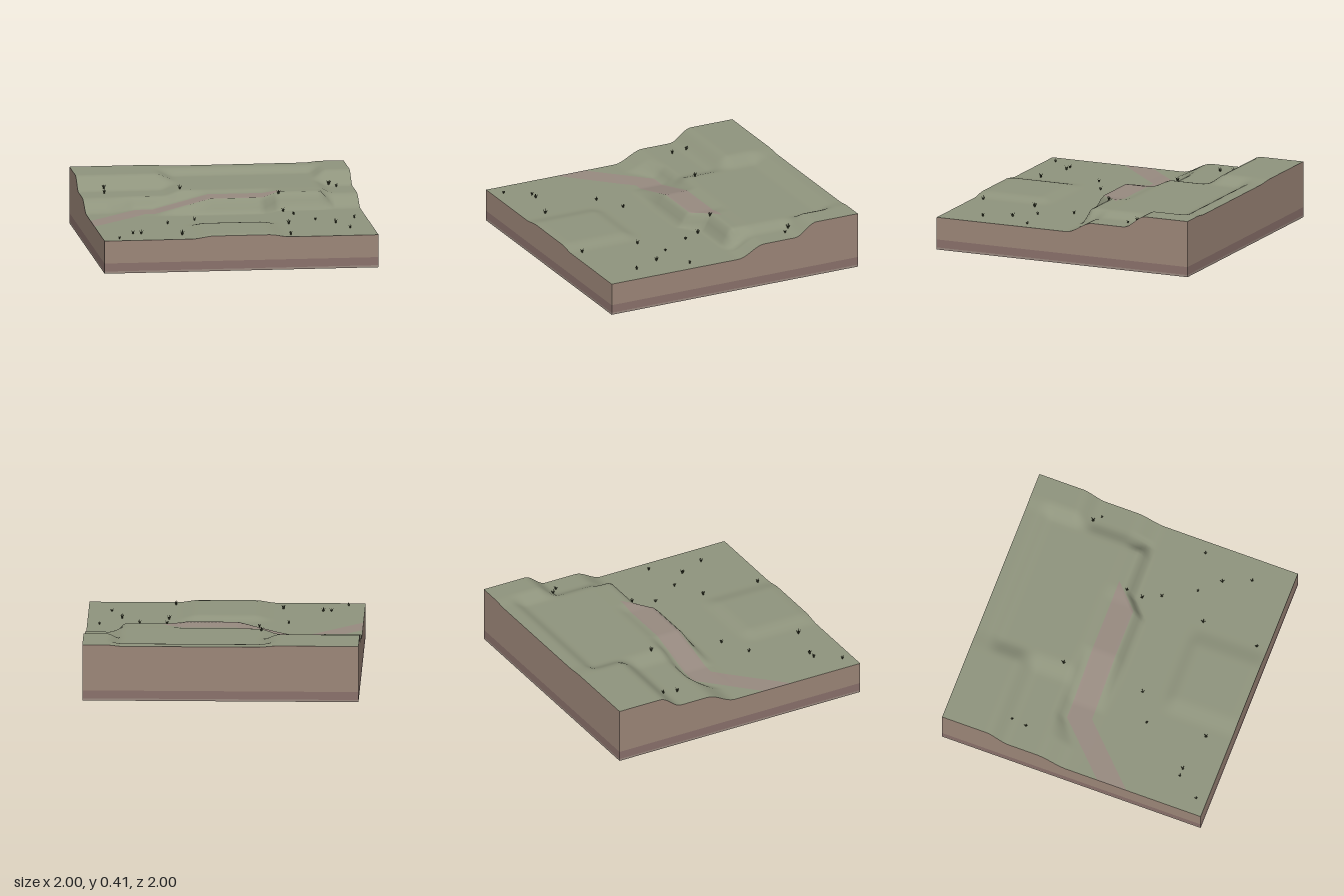
import * as THREE from 'three';
import { mergeGeometries } from 'three/addons/utils/BufferGeometryUtils.js';

const N = 80; // ground cells per side
const WALL_BASE = 0.075;
const { lerp, smoothstep } = THREE.MathUtils;
const mat = (color, side = THREE.FrontSide) => new THREE.MeshStandardMaterial({ color, side, roughness: 1 });

// Piecewise-linear lookup through [x, value] points
function along(points, x) {
  for (let i = 1; i < points.length; i++) {
    const [x0, v0] = points[i - 1], [x1, v1] = points[i];
    if (x <= x1) return lerp(v0, v1, Math.max(0, (x - x0) / (x1 - x0)));
  }
  return points[points.length - 1][1];
}

// Rising ledge, its front edge, and the bank behind it, all as functions of x
const ledge = [[-1, 0.24], [-0.5, 0.243], [-0.1, 0.345], [0.3, 0.345], [0.4, 0.36], [0.72, 0.36], [0.82, 0.24], [1, 0.24]];
const ledgeEdge = [[-1, 0], [0.27, 0], [0.4, -0.115], [1, -0.115]];
const bankTop = [[-1, -0.27], [0.7, -0.27], [0.85, -0.24]];
const bankFoot = [[-0.82, -0.04], [-0.64, -0.18], [0.72, -0.18], [0.84, -0.03]];

function groundHeight(x, z) {
  // Terraces behind the bank
  const plateau = smoothstep(x, -0.42, -0.26) * (1 - smoothstep(x, 0.71, 0.83));
  const sideTerrace = 0.415 - 0.093 * smoothstep(z, -0.66, -0.49);
  const midTerrace = 0.405 - 0.043 * smoothstep(z, -0.92, -0.8);
  const upper = lerp(sideTerrace, midTerrace, plateau);
  // Meadow with a low mound, and the ledge with its front cliff
  const mound = 0.025 * smoothstep(x, -0.36, -0.2) * (1 - smoothstep(x, 0.2, 0.36))
    * smoothstep(z, 0.41, 0.53) * (1 - 0.25 * smoothstep(z, 0.95, 1));
  const edge = along(ledgeEdge, x);
  const low = lerp(along(ledge, x), 0.24, smoothstep(z, edge, edge + 0.085)) + mound;
  return lerp(upper, low, smoothstep(z, along(bankTop, x), along(bankFoot, x)));
}

// Worn path: a diagonal strip on the meadow leading onto the ledge
function onPath(x, z) {
  const d = x + z;
  if (z > 0) return d > -0.8 && d < -0.575;
  return z > -0.175 && d > -0.8 && d < 0.275;
}

function addGround(group) {
  const ground = new THREE.PlaneGeometry(2, 2, N, N).rotateX(-Math.PI / 2);
  const p = ground.attributes.position;
  for (let i = 0; i < p.count; i++) p.setY(i, groundHeight(p.getX(i), p.getZ(i)));
  ground.computeVertexNormals();

  // Split the faces into grass and path, keeping shared normals
  const grass = [], path = [], idx = ground.index.array;
  for (let i = 0; i < idx.length; i += 3) {
    const tri = [idx[i], idx[i + 1], idx[i + 2]];
    const cx = tri.reduce((s, k) => s + p.getX(k), 0) / 3;
    const cz = tri.reduce((s, k) => s + p.getZ(k), 0) / 3;
    (onPath(cx, cz) ? path : grass).push(...tri);
  }
  for (const [name, index, color] of [['grassGround', grass, 0x8f947d], ['path', path, 0x978a80]]) {
    const g = ground.clone();
    g.setIndex(index);
    const mesh = new THREE.Mesh(g, mat(color));
    mesh.name = name;
    group.add(mesh);
  }
}

// One soil wall, following the ground edge from corner a to corner b
function soilWall(ax, az, bx, bz) {
  const g = new THREE.PlaneGeometry(1, 1, N, 1);
  const p = g.attributes.position;
  for (let i = 0; i < p.count; i++) {
    const t = p.getX(i) + 0.5;
    const x = lerp(ax, bx, t), z = lerp(az, bz, t);
    p.setXYZ(i, x, p.getY(i) > 0 ? groundHeight(x, z) : WALL_BASE, z);
  }
  g.computeVertexNormals();
  return g;
}

function addSoil(group) {
  const corners = [[-1, 1], [1, 1], [1, -1], [-1, -1]];
  const walls = corners.map((c, i) => soilWall(...c, ...corners[(i + 1) % 4]));
  const soil = new THREE.Mesh(mergeGeometries(walls), mat(0x9c8678));
  soil.name = 'soilWalls';
  group.add(soil);

  // Lower strata; the lowest has a dark underside
  const layer = (name, y0, y1, color) => {
    const side = mat(color), under = mat(0x4a453e);
    const mesh = new THREE.Mesh(new THREE.BoxGeometry(2, y1 - y0, 2), [side, side, side, under, side, side]);
    mesh.position.y = (y0 + y1) / 2;
    mesh.name = name;
    group.add(mesh);
  };
  layer('darkStratum', 0.016, WALL_BASE, 0x8a716b);
  layer('bottomStratum', 0, 0.016, 0x9b8a80);
}

// Grass tuft: a few thin blades leaning outward
function tuftGeometry() {
  const blades = [];
  for (let i = 0; i < 5; i++) {
    const blade = new THREE.ConeGeometry(0.005, 0.034, 3).translate(0, 0.015, 0);
    blade.rotateZ(i === 0 ? 0 : -0.5).rotateY(i * Math.PI / 2 + 0.4);
    blades.push(blade);
  }
  return mergeGeometries(blades);
}

function addTufts(group) {
  const spots = [
    [-0.88, 0.92], [-0.76, 0.75], [-0.7, 0.75], [-0.41, 0.82], [-0.46, 0.38], [-0.25, 0.27],
    [0.37, 0.92], [0.41, 0.49], [0.62, 0.37], [0.49, 0.14], [0.43, 0.01], [0.75, 0.51],
    [0.91, 0.32], [0.83, 0.71], [0.41, -0.1], [0.83, -0.52], [0.88, -0.47],
    [-0.81, -0.53], [-0.82, -0.42], [-0.28, -0.33],
  ];
  const geometry = tuftGeometry(), material = mat(0x3f4430);
  spots.forEach(([x, z], i) => {
    const tuft = new THREE.Mesh(geometry, material);
    tuft.name = 'grassTuft';
    tuft.position.set(x, groundHeight(x, z), z);
    tuft.rotation.y = i * 1.3;
    tuft.scale.setScalar(0.85 + 0.1 * (i % 4));
    group.add(tuft);
  });
}

export function createModel() {
  const group = new THREE.Group();
  group.name = 'terrainBlock';
  addGround(group);
  addSoil(group);
  addTufts(group);
  return group;
}
